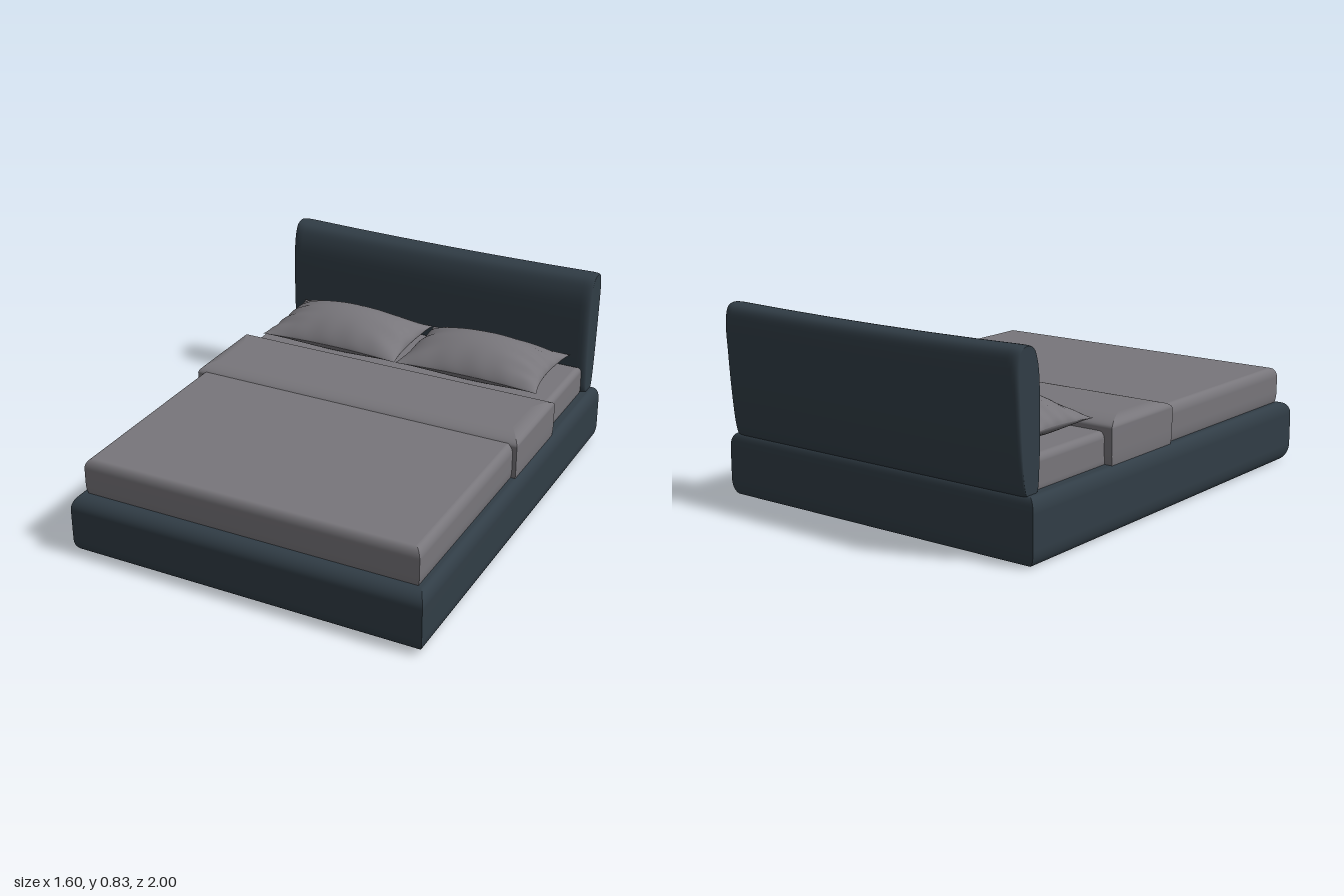
import * as THREE from 'three';

const upholstery = new THREE.MeshStandardMaterial({ color: 0x313d46 });
upholstery.name = 'dark slate upholstery';
const linen = new THREE.MeshStandardMaterial({ color: 0x78767b });
linen.name = 'grey linen';

function makeMesh(name, positions, index, material) {
  const g = new THREE.BufferGeometry();
  g.setAttribute('position', new THREE.Float32BufferAttribute(positions, 3));
  g.setIndex(index);
  g.computeVertexNormals();
  const mesh = new THREE.Mesh(g, material);
  mesh.name = name;
  return mesh;
}

// Edge profile as [inset 0..1, y], with elliptical rounding at bottom and top
function roundedProfile(y0, y1, rBottom, rTop, bottomInset = 1, steps = 10) {
  const pts = [];
  for (let i = 0; i <= steps; i++) {
    const a = (i / steps) * Math.PI / 2;
    pts.push([bottomInset * (1 - Math.sin(a)), y0 + rBottom * (1 - Math.cos(a))]);
  }
  for (let i = 0; i <= steps; i++) {
    const a = (i / steps) * Math.PI / 2;
    pts.push([1 - Math.cos(a), y1 - rTop * (1 - Math.sin(a))]);
  }
  return pts;
}

// Padded block: soft edge profile on each side, mitred at the four corners
function paddedBlock(name, { w, back, front, inset, profile }, material) {
  const pos = [], idx = [];
  const ring = ([t, y]) => {
    const x = w - inset.side * t, zf = front - inset.front * t, zb = back + inset.back * t;
    return [[x, y, zf], [x, y, zb], [-x, y, zb], [-x, y, zf]];
  };
  const rings = profile.map(ring);
  for (let k = 0; k < 4; k++) {
    const base = pos.length / 3;
    rings.forEach((r) => pos.push(...r[k], ...r[(k + 1) % 4]));
    for (let i = 0; i < rings.length - 1; i++) {
      const a = base + i * 2;
      idx.push(a, a + 1, a + 3, a, a + 3, a + 2);
    }
  }
  const top = pos.length / 3;
  rings[rings.length - 1].forEach((c) => pos.push(...c));
  idx.push(top, top + 1, top + 2, top, top + 2, top + 3);
  rings[0].forEach((c) => pos.push(...c));
  idx.push(top + 4, top + 6, top + 5, top + 4, top + 7, top + 6);
  return makeMesh(name, pos, idx, material);
}

// Headboard: side profile lofted across the width, softened at both ends
function headboard() {
  const outline = new THREE.CatmullRomCurve3([
    [-0.86, 0.27], [-0.845, 0.36], [-0.84, 0.5], [-0.842, 0.65], [-0.855, 0.76], [-0.885, 0.82],
    [-0.935, 0.835], [-0.98, 0.822], [-0.999, 0.77], [-0.993, 0.62], [-0.975, 0.42],
    [-0.955, 0.3], [-0.94, 0.267], [-0.9, 0.263],
  ].map(([z, y]) => new THREE.Vector3(0, y, z)), true).getPoints(64).slice(0, -1);
  const n = outline.length;
  const half = [[0.76, 0.24], [0.759, 0.18], [0.755, 0.12], [0.747, 0.06], [0.735, 0.02], [0.715, 0],
    [0.5, 0], [0.25, 0]];
  const stations = [...half.map(([x, e]) => [-x, e]), [0, 0], ...half.slice().reverse()];
  const pos = [], idx = [];
  const point = (p, x, e) => {
    const dip = 0.01 * (1 - (x / 0.76) ** 2) * Math.max(0, (p.y - 0.27) / 0.56);
    return [x, 0.55 + (p.y - 0.55) * (1 - e * 0.06) - dip, -0.922 + (p.z + 0.922) * (1 - e)];
  };
  stations.forEach(([x, e]) => outline.forEach((p) => pos.push(...point(p, x, e))));
  for (let i = 0; i < stations.length - 1; i++) {
    for (let j = 0; j < n; j++) {
      const k = (j + 1) % n, a = i * n, b = a + n;
      idx.push(a + j, b + j, b + k, a + j, b + k, a + k);
    }
  }
  // end caps
  for (const s of [-1, 1]) {
    const c = pos.length / 3;
    pos.push(s * 0.76, 0.55, -0.922);
    outline.forEach((p) => pos.push(...point(p, s * 0.76, half[0][1])));
    for (let j = 0; j < n; j++) {
      const a = c + 1 + j, b = c + 1 + ((j + 1) % n);
      if (s > 0) idx.push(c, b, a); else idx.push(c, a, b);
    }
  }
  return makeMesh('headboard', pos, idx, upholstery);
}

// Pillow: two puffed sheets meeting at a seam, pointed corners and pinched edges
function pillow(name, side) {
  const N = 40, pos = [], idx = [];
  for (const face of [1, -1]) {
    const base = pos.length / 3;
    for (let i = 0; i <= N; i++) {
      for (let j = 0; j <= N; j++) {
        const u = Math.sin((i / N - 0.5) * Math.PI), v = Math.sin((j / N - 0.5) * Math.PI);
        const fu = Math.max(0, 1 - u * u), fv = Math.max(0, 1 - v * v);
        const x = 0.345 + 0.342 * u * (1 - (u > 0 ? 0.09 : 0.06) * fv);
        const z = -0.62 + 0.21 * v * (1 - (v < 0 ? 0.15 : 0.07) * fu);
        const puff = Math.pow(fu, 0.55) * Math.pow(fv, 0.75);
        const crease = 0.02 * Math.sin(13 * v + 5 * u * v) * u ** 4 * Math.sqrt(fu) * fv
          + 0.008 * Math.sin(15 * u) * v ** 4 * fu * Math.sqrt(fv);
        const seam = 0.457 - 0.005 * v * u * u;
        const y = face > 0 ? seam + 0.118 * puff + crease : seam - 0.055 * Math.min(1, 1.5 * puff);
        pos.push(side * x, y, z);
      }
    }
    for (let i = 0; i < N; i++) {
      for (let j = 0; j < N; j++) {
        const a = base + i * (N + 1) + j, b = a + N + 1;
        if (face * side > 0) idx.push(a, a + 1, b + 1, a, b + 1, b);
        else idx.push(a, b + 1, a + 1, a, b, b + 1);
      }
    }
  }
  return makeMesh(name, pos, idx, linen);
}

export function createModel() {
  const bed = new THREE.Group();
  bed.name = 'bed';

  bed.add(paddedBlock('bedBase', {
    w: 0.8, back: -0.95, front: 1, inset: { side: 0.033, front: 0.06, back: 0.022 },
    profile: roundedProfile(0, 0.27, 0.07, 0.06),
  }, upholstery));
  bed.add(headboard());

  // bedding layers
  bed.add(paddedBlock('mattress', {
    w: 0.74, back: -0.85, front: 0.9, inset: { side: 0.025, front: 0.025, back: 0.025 },
    profile: roundedProfile(0.26, 0.405, 0.03, 0.03, 0.4),
  }, linen));
  bed.add(paddedBlock('duvet', {
    w: 0.758, back: -0.1, front: 0.94, inset: { side: 0.028, front: 0.028, back: 0.028 },
    profile: roundedProfile(0.26, 0.43, 0.06, 0.045, 0.5),
  }, linen));
  bed.add(paddedBlock('foldedDuvet', {
    w: 0.776, back: -0.41, front: 0.028, inset: { side: 0.06, front: 0.1, back: 0.13 },
    profile: roundedProfile(0.26, 0.455, 0.07, 0.035, 0.12),
  }, linen));

  bed.add(pillow('leftPillow', 1), pillow('rightPillow', -1));
  return bed;
}
